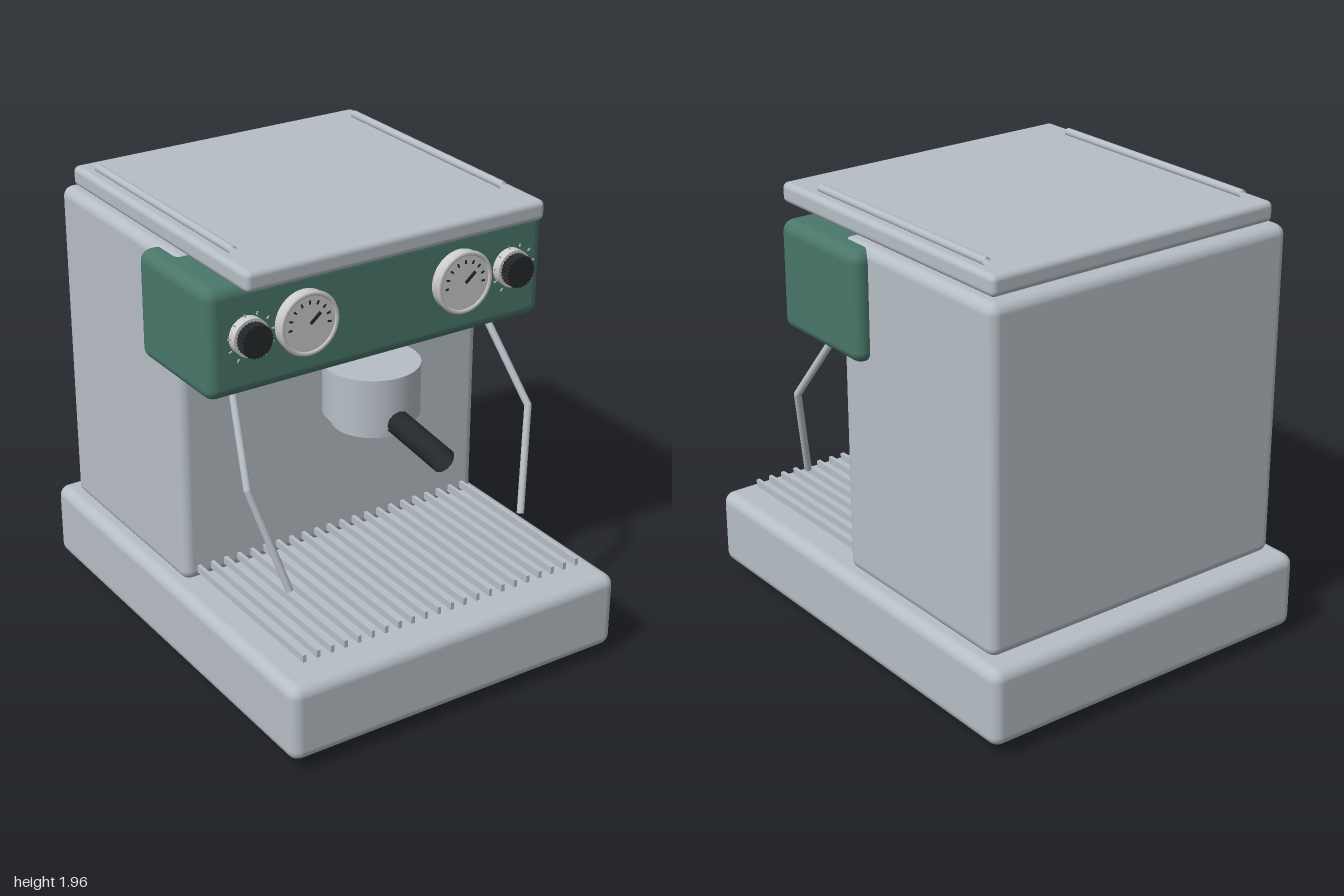
import * as THREE from 'three';
import { RoundedBoxGeometry } from 'three/addons/geometries/RoundedBoxGeometry.js';

const paint = (color, side = THREE.FrontSide) => new THREE.MeshStandardMaterial({ color, side });
const steel = paint(0xb6bec5);
const steelTube = paint(0xb6bec5, THREE.DoubleSide);
const green = paint(0x4a776a);
const black = paint(0x24272b);
const blackTube = paint(0x24272b, THREE.DoubleSide);
const silver = paint(0xcccccc);
const dialWhite = paint(0xdddddd);

function add(parent, name, geometry, material, x = 0, y = 0, z = 0) {
  const mesh = new THREE.Mesh(geometry, material);
  mesh.name = name;
  mesh.position.set(x, y, z);
  parent.add(mesh);
  return mesh;
}

// Rounded box given by its extents
function block(parent, name, material, [x0, x1], [y0, y1], [z0, z1], r) {
  const g = new RoundedBoxGeometry(x1 - x0, y1 - y0, z1 - z0, 4, r);
  return add(parent, name, g, material, (x0 + x1) / 2, (y0 + y1) / 2, (z0 + z1) / 2);
}

// Open-ended straight tube between two points
function tube(parent, name, material, from, to, r, sides = 12) {
  const a = new THREE.Vector3(...from), b = new THREE.Vector3(...to);
  const dir = b.clone().sub(a);
  const m = add(parent, name, new THREE.CylinderGeometry(r, r, dir.length(), sides, 1, true), material);
  m.position.copy(a).add(b).multiplyScalar(0.5);
  m.quaternion.setFromUnitVectors(new THREE.Vector3(0, 1, 0), dir.normalize());
  return m;
}

// Disc whose axis points to the front, from depth z0 to z1
function disc(parent, name, material, r, z0, z1) {
  const g = new THREE.CylinderGeometry(r, r, z1 - z0, 40).rotateX(Math.PI / 2);
  return add(parent, name, g, material, 0, 0, (z0 + z1) / 2);
}

// Small marks on a circle, each pointing to the centre
function marks(parent, name, material, count, start, end, r, length, width, z) {
  for (let i = 0; i < count; i++) {
    const a = start + (end - start) * i / (count - 1);
    const m = add(parent, name, new THREE.BoxGeometry(length, width, 0.004), material,
      Math.cos(a) * r, Math.sin(a) * r, z);
    m.rotation.z = a;
  }
}

function makeGauge() {
  const gauge = new THREE.Group();
  gauge.name = 'pressureGauge';
  disc(gauge, 'gaugeHousing', silver, 0.13, 0, 0.045);
  add(gauge, 'gaugeRim', new THREE.TorusGeometry(0.125, 0.011, 8, 40), silver, 0, 0, 0.043);
  disc(gauge, 'gaugeFace', dialWhite, 0.117, 0.044, 0.047);
  marks(gauge, 'gaugeMark', black, 9, -0.1, Math.PI + 0.1, 0.09, 0.016, 0.007, 0.049);
  const needle = add(gauge, 'needle', new THREE.BoxGeometry(0.06, 0.012, 0.006), black, 0.024, 0.02, 0.051);
  needle.rotation.z = 0.7;
  return gauge;
}

function makeKnob() {
  const knob = new THREE.Group();
  knob.name = 'controlKnob';
  disc(knob, 'knobCollar', silver, 0.08, 0, 0.04);
  // Fluted grip
  const outline = new THREE.Shape();
  const teeth = 28;
  for (let i = 0; i < teeth * 2; i++) {
    const a = i * Math.PI / teeth, r = i % 2 ? 0.064 : 0.07;
    outline[i ? 'lineTo' : 'moveTo'](Math.cos(a) * r, Math.sin(a) * r);
  }
  outline.closePath();
  add(knob, 'knobGrip', new THREE.ExtrudeGeometry(outline, { depth: 0.045, bevelEnabled: false }), black, 0, 0, 0.038);
  marks(knob, 'knobMark', silver, 10, -0.3 * Math.PI, 1.3 * Math.PI, 0.1, 0.014, 0.005, 0.035);
  return knob;
}

export function createModel() {
  const model = new THREE.Group();
  model.name = 'espressoMachine';

  // Main housing
  block(model, 'base', steel, [-0.8, 0.8], [0.05, 0.39], [-1, 1], 0.05);
  block(model, 'body', steel, [-0.74, 0.74], [0.385, 1.84], [-0.905, 0.07], 0.045);
  block(model, 'controlPanel', green, [-0.8, 0.8], [1.365, 1.832], [-0.13, 0.41], 0.05);
  block(model, 'cupTray', steel, [-0.7, 0.7], [1.845, 1.932], [-0.86, 0.54], 0.025);

  // Drip grate
  const grate = new THREE.Group();
  grate.name = 'dripGrate';
  model.add(grate);
  const slat = new THREE.BoxGeometry(0.016, 0.032, 0.815);
  for (let i = 0; i < 22; i++) add(grate, 'slat', slat, steel, -0.673 + i * 1.346 / 21, 0.439, 0.478);

  // Brew head, filter basket and handle
  add(model, 'brewHead', new THREE.CylinderGeometry(0.2, 0.2, 0.22, 48), steel, 0, 1.217, 0.34);
  add(model, 'filterBasket', new THREE.CylinderGeometry(0.165, 0.165, 0.06, 48), steel, 0, 1.088, 0.34);
  tube(model, 'filterHandle', blackTube, [0, 1.13, 0.5], [0, 1.09, 0.84], 0.053, 12);

  for (const s of [-1, 1]) {
    // Dials
    const gauge = makeGauge();
    gauge.position.set(s * 0.37, 1.62, 0.41);
    const knob = makeKnob();
    knob.position.set(s * 0.625, 1.62, 0.41);
    model.add(gauge, knob);

    // Tray rails
    tube(model, 'trayRail', steelTube, [s * 0.637, 1.943, -0.745], [s * 0.637, 1.943, 0.34], 0.0175);

    // Steam wands
    const wand = new THREE.Group();
    wand.name = 'steamWand';
    model.add(wand);
    const elbow = [s * 0.688, 1.005, 0.5];
    tube(wand, 'upperPipe', steelTube, [s * 0.622, 1.33, 0.287], elbow, 0.016);
    tube(wand, 'lowerPipe', steelTube, elbow, [s * 0.575, 0.578, 0.622], 0.016);
    add(wand, 'elbow', new THREE.SphereGeometry(0.016, 12, 8), steel, ...elbow);

    // Feet
    for (const z of [-0.64, 0.64])
      add(model, 'foot', new THREE.CylinderGeometry(0.096, 0.096, 0.06, 28), black, s * 0.515, 0.03, z);
  }
  return model;
}
